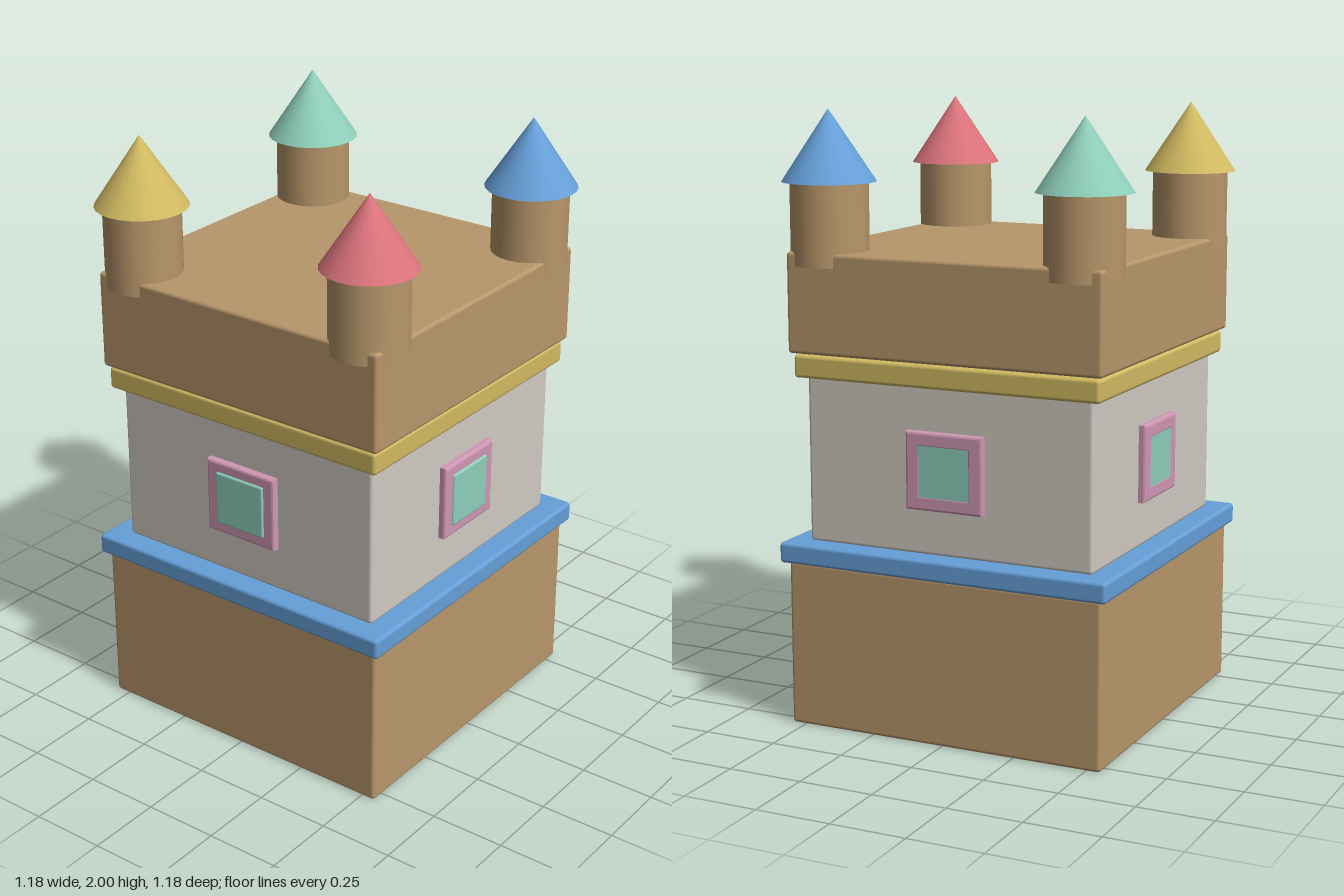
import * as THREE from 'three';
import { RoundedBoxGeometry } from 'three/addons/geometries/RoundedBoxGeometry.js';

export function createModel() {
  const model = new THREE.Group();
  model.name = 'toyTower';

  const paint = (name, color) => {
    const material = new THREE.MeshStandardMaterial({ color });
    material.name = name;
    return material;
  };
  const brown = paint('brown', 0xb8976b);
  const blue = paint('blue', 0x66a0d9);
  const stone = paint('stone', 0xd0cbc3);
  const yellow = paint('yellow', 0xd2bb62);
  const pink = paint('pink', 0xd097b4);
  const mint = paint('mint', 0x8fcfbb);
  const red = paint('red', 0xdc747c);

  const add = (parent, name, geometry, material, x, y, z) => {
    const mesh = new THREE.Mesh(geometry, material);
    mesh.name = name;
    mesh.position.set(x, y, z);
    parent.add(mesh);
    return mesh;
  };

  // Square storeys and trims: name, half width, bottom, top, colour
  const storeys = [
    ['base', 0.549, 0, 0.548, brown],
    ['lowerTrim', 0.572, 0.545, 0.613, blue],
    ['middleWalls', 0.498, 0.61, 1.16, stone],
    ['upperTrim', 0.53, 1.15, 1.225, yellow],
    ['topBlock', 0.543, 1.23, 1.555, brown],
  ];
  for (const [name, half, y0, y1, material] of storeys) {
    const box = new RoundedBoxGeometry(half * 2, y1 - y0, half * 2, 2, 0.012);
    add(model, name, box, material, 0, (y0 + y1) / 2, 0);
  }

  // Window frame with a rectangular opening
  const frameShape = new THREE.Shape([
    [-0.126, -0.118], [0.126, -0.118], [0.126, 0.118], [-0.126, 0.118],
  ].map(([x, y]) => new THREE.Vector2(x, y)));
  frameShape.holes.push(new THREE.Path([
    [-0.09, -0.085], [-0.09, 0.085], [0.09, 0.085], [0.09, -0.085],
  ].map(([x, y]) => new THREE.Vector2(x, y))));
  const frameGeometry = new THREE.ExtrudeGeometry(frameShape, {
    depth: 0.025, bevelEnabled: true, bevelSize: 0.008, bevelThickness: 0.008, bevelSegments: 2,
  });

  // One window in the middle of each wall
  const paneFronts = [0.529, 0.521, 0.521, 0.529];
  paneFronts.forEach((front, i) => {
    const windowGroup = new THREE.Group();
    windowGroup.name = 'window' + (i + 1);
    windowGroup.rotation.y = i * Math.PI / 2;
    add(windowGroup, 'windowFrame', frameGeometry, pink, 0, 0.885, 0.489);
    const depth = front - 0.48;
    add(windowGroup, 'windowPane', new RoundedBoxGeometry(0.19, 0.182, depth, 2, 0.008),
      mint, 0, 0.885, 0.48 + depth / 2);
    model.add(windowGroup);
  });

  // Corner turrets with coloured cone roofs
  const shaft = new THREE.CylinderGeometry(0.125, 0.125, 0.27, 24);
  const roof = new THREE.ConeGeometry(0.151, 0.228, 24);
  const corners = [[-1, 1, red], [1, 1, blue], [-1, -1, yellow], [1, -1, mint]];
  for (const [sx, sz, material] of corners) {
    const turret = new THREE.Group();
    turret.name = 'turret';
    turret.position.set(sx * 0.44, 0, sz * 0.44);
    add(turret, 'turretShaft', shaft, brown, 0, 1.645, 0);
    add(turret, 'turretRoof', roof, material, 0, 1.886, 0);
    model.add(turret);
  }

  return model;
}
